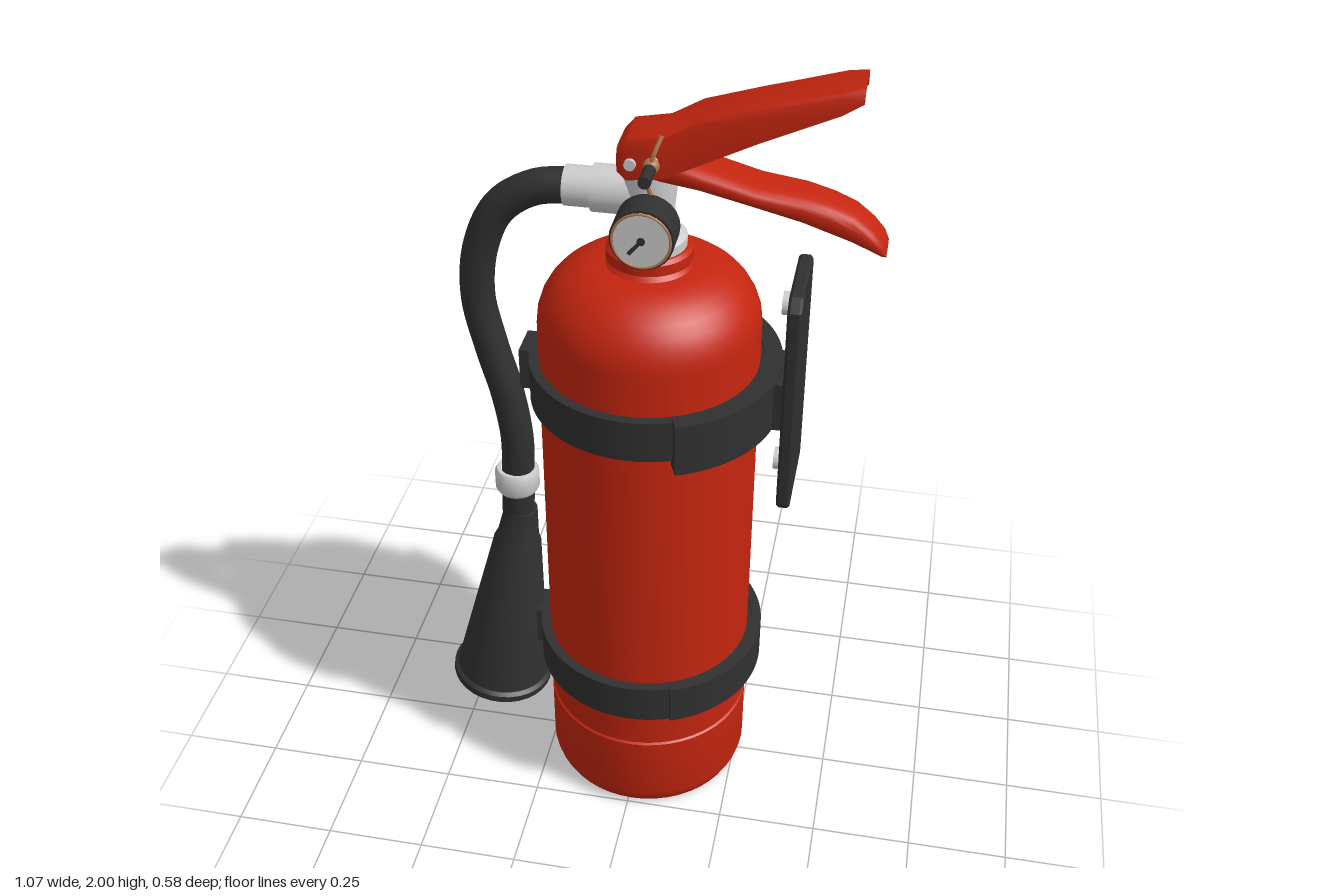
import * as THREE from 'three';
import { toCreasedNormals } from 'three/addons/utils/BufferGeometryUtils.js';

const mat = (name, color, side = THREE.FrontSide) => {
  const m = new THREE.MeshStandardMaterial({ color, side });
  m.name = name;
  return m;
};
const V = (x, y, z = 0) => new THREE.Vector3(x, y, z);

// Surface of revolution about y, edges kept sharp
const lathe = (pts, seg = 40) =>
  toCreasedNormals(new THREE.LatheGeometry(pts.map(p => new THREE.Vector2(...p)), seg), 0.6);

// Skin closed rings lying across x; ends are zipped shut
function loft(rings) {
  const n = rings[0].length, idx = [];
  for (let s = 0; s < rings.length - 1; s++)
    for (let i = 0; i < n; i++) {
      const a = s * n + i, b = s * n + (i + 1) % n;
      idx.push(a, a + n, b, b, a + n, b + n);
    }
  const end = (rings.length - 1) * n;
  for (let i = 0; i < n / 2 - 1; i++) {
    const j = n - 1 - i;
    idx.push(i, i + 1, j, i + 1, j - 1, j);
    idx.push(end + i, end + j, end + i + 1, end + i + 1, end + j, end + j - 1);
  }
  const g = new THREE.BufferGeometry();
  g.setAttribute('position', new THREE.Float32BufferAttribute(rings.flat().flatMap(p => [p.x, p.y, p.z]), 3));
  g.setIndex(idx);
  return toCreasedNormals(g, 0.7);
}

// Downward-open channel section with rounded shoulders
function channelRing([x, bottom, top, w]) {
  const side = (hw, h) => [[hw, 0], [hw, 0.7 * h], [0.9 * hw, 0.92 * h], [0.7 * hw, h]];
  const arch = (hw, h) => {
    const half = side(hw, h);
    return [...half, ...half.slice().reverse().map(([z, y]) => [-z, y])];
  };
  const t = 0.012, h = top - bottom;
  return [...arch(w, h), ...arch(w - t, h - t).reverse()].map(([z, y]) => V(x, bottom + y, z));
}

// Soft rounded-box section
function roundRing([x, bottom, top, w]) {
  const soft = v => Math.sign(v) * Math.pow(Math.abs(v), 0.65);
  return Array.from({ length: 20 }, (_, i) => {
    const a = -Math.PI / 2 + (i + 0.5) * Math.PI / 10;
    return V(x, (top + bottom) / 2 + (top - bottom) / 2 * soft(Math.sin(a)), w * soft(Math.cos(a)));
  });
}

// Flat band around y: a full ring, or an arc centred on +x
function band(inner, outer, y0, y1, half) {
  const s = new THREE.Shape();
  if (half) {
    s.absarc(0, 0, outer, -half, half, false);
    s.absarc(0, 0, inner, half, -half, true);
  } else {
    s.absarc(0, 0, outer, 0, Math.PI * 2, false);
    s.holes.push(new THREE.Path().absarc(0, 0, inner, 0, Math.PI * 2, true));
  }
  const g = new THREE.ExtrudeGeometry(s, { depth: y1 - y0, bevelEnabled: false, curveSegments: 40 });
  return toCreasedNormals(g.rotateX(-Math.PI / 2).translate(0.01, y0, 0), 0.6);
}

export function createModel() {
  const model = new THREE.Group();
  model.name = 'fireExtinguisher';
  const red = mat('red paint', 0xc4250f);
  const black = mat('black rubber', 0x303030);
  const blackOpen = mat('horn black', 0x303030, THREE.DoubleSide);
  const metal = mat('light metal', 0xcdcdcd);
  const brass = mat('copper', 0xb0764f);

  const add = (name, geo, material, x = 0, y = 0, z = 0) => {
    const m = new THREE.Mesh(geo, material);
    m.name = name;
    m.position.set(x, y, z);
    model.add(m);
    return m;
  };
  const box = (name, material, w, h, d, x, y, z) => add(name, new THREE.BoxGeometry(w, h, d), material, x, y, z);
  const rod = (name, material, axis, r, len, x, y, z) => {
    const m = add(name, new THREE.CylinderGeometry(r, r, len, 24), material, x, y, z);
    if (axis === 'x') m.rotation.z = Math.PI / 2;
    if (axis === 'z') m.rotation.x = Math.PI / 2;
    return m;
  };

  // Tank with foot, seam, dome and neck collar
  const dome = Array.from({ length: 9 }, (_, i) => {
    const a = i / 8 * Math.PI / 2;
    return [0.1 + 0.16 * Math.cos(a), 1.375 + 0.15 * Math.sin(a)];
  });
  add('tank', lathe([[0, 0], [0.225, 0], [0.245, 0.01], [0.255, 0.03], [0.26, 0.05], [0.26, 0.232],
    [0.255, 0.236], [0.255, 0.242], [0.259, 0.246], ...dome, [0.09, 1.535],
    [0.099, 1.54], [0.099, 1.565], [0.09, 1.573], [0, 1.573]], 48), red, 0.01);

  // Straps, with a thick pad on the bracket side and a clip on the hose side
  for (const [name, y0, y1, padBottom, padR, clipX] of [
    ['upper', 1.17, 1.275, 1.15, 0.312, -0.28], ['lower', 0.35, 0.455, 0.355, 0.295, -0.27]]) {
    add(name + 'Strap', band(0.255, 0.283, y0, y1), black);
    add(name + 'StrapPad', band(0.27, padR, padBottom, y1 + 0.006, 1.2), black);
    box(name + 'StrapClip', black, 0.03, y1 - y0, 0.09, clipX, (y0 + y1) / 2, 0);
  }

  // Wall bracket plate and its mount
  const p = new THREE.Shape([[-0.11, 0.955], [0.11, 0.955], [0.118, 0.97], [0.118, 1.495], [0.095, 1.523],
    [-0.095, 1.523], [-0.118, 1.495], [-0.118, 0.97]].map(q => new THREE.Vector2(...q)));
  const plate = new THREE.ExtrudeGeometry(p, { depth: 0.02, bevelSize: 0.005, bevelOffset: -0.003, bevelThickness: 0.006, bevelSegments: 1 });
  add('bracketPlate', plate.rotateY(Math.PI / 2), black, 0.343);
  box('bracketMount', black, 0.055, 0.125, 0.15, 0.313, 1.2125, 0);
  for (const y of [1.45, 1.015]) rod('bracketScrew', metal, 'x', 0.027, 0.022, 0.327, y, 0);

  // Valve body and hose fitting
  add('valve', lathe([[0, 1.57], [0.085, 1.57], [0.085, 1.595], [0.064, 1.615], [0.056, 1.66],
    [0.06, 1.7], [0.06, 1.775], [0, 1.775]], 28), metal, 0.01);
  rod('hoseFittingInner', metal, 'x', 0.054, 0.11, -0.062, 1.695, -0.003);
  rod('hoseFittingOuter', metal, 'x', 0.046, 0.065, -0.148, 1.695, -0.003);

  // Hose
  const path = new THREE.CatmullRomCurve3([V(-0.16, 1.695), V(-0.25, 1.682), V(-0.335, 1.625), V(-0.385, 1.52),
    V(-0.4, 1.39), V(-0.375, 1.25), V(-0.343, 1.12), V(-0.325, 0.99), V(-0.327, 0.87), V(-0.335, 0.69)]);
  add('hose', new THREE.TubeGeometry(path, 64, 0.041, 18), black, 0, 0, -0.004);
  add('hoseCollar', lathe([[0.04, -0.033], [0.05, -0.033], [0.056, -0.022], [0.056, 0.022], [0.05, 0.033], [0.04, 0.033]], 28),
    metal, -0.33, 0.86, -0.004);

  // Hollow discharge horn, tilted outward
  const horn = add('horn', lathe([[0.03, 0.05], [0.11, -0.46], [0.122, -0.487], [0.134, -0.487], [0.134, -0.468],
    [0.124, -0.46], [0.062, -0.01], [0.054, 0.01], [0.042, 0.1], [0, 0.1]], 32), blackOpen, -0.338, 0.665, -0.004);
  horn.rotation.z = -0.135;

  // Squeeze lever and carrying handle
  add('upperLever', loft([[-0.052, 1.77, 1.825, 0.058], [-0.03, 1.755, 1.85, 0.068], [0.05, 1.765, 1.865, 0.068],
    [0.12, 1.8, 1.905, 0.068], [0.25, 1.865, 1.945, 0.068], [0.42, 1.943, 1.992, 0.067], [0.462, 1.966, 2, 0.055]]
    .map(channelRing)), red);
  add('lowerHandle', loft([[-0.02, 1.748, 1.8, 0.055], [0.05, 1.742, 1.805, 0.062], [0.127, 1.733, 1.785, 0.065],
    [0.25, 1.705, 1.75, 0.065], [0.35, 1.678, 1.738, 0.063], [0.41, 1.656, 1.723, 0.06], [0.46, 1.638, 1.703, 0.057],
    [0.5, 1.62, 1.672, 0.052], [0.525, 1.607, 1.645, 0.045], [0.535, 1.605, 1.622, 0.035]].map(roundRing)), red);

  // Rivets, safety pin and seal
  for (const z of [-0.07, 0.07]) rod('leverRivet', metal, 'z', 0.013, 0.014, -0.02, 1.795, z);
  rod('safetyPin', metal, 'z', 0.011, 0.2, 0.03, 1.805, 0.015);
  rod('safetyPinGrip', black, 'z', 0.014, 0.06, 0.03, 1.805, 0.14);
  add('seal', new THREE.SphereGeometry(0.018, 14, 10), brass, 0.03, 1.805, 0.09);
  const wire = new THREE.CatmullRomCurve3([V(0.05, 1.87, 0.075), V(0.035, 1.83, 0.095), V(0.02, 1.77, 0.09), V(0.03, 1.73, 0.085)]);
  add('sealWire', new THREE.TubeGeometry(wire, 16, 0.005, 8), brass);

  // Pressure gauge
  rod('gaugeStem', metal, 'z', 0.03, 0.08, 0.02, 1.667, 0.06);
  rod('gaugeBody', black, 'z', 0.071, 0.078, 0.023, 1.667, 0.126);
  rod('gaugeFace', metal, 'z', 0.066, 0.004, 0.023, 1.667, 0.166);
  add('gaugeRim', new THREE.TorusGeometry(0.064, 0.003, 8, 32), brass, 0.023, 1.667, 0.168);
  rod('gaugeHub', black, 'z', 0.009, 0.004, 0.023, 1.667, 0.17);
  box('gaugeNeedle', black, 0.008, 0.045, 0.003, 0.01, 1.652, 0.1695).rotation.z = -0.7;

  return model;
}
